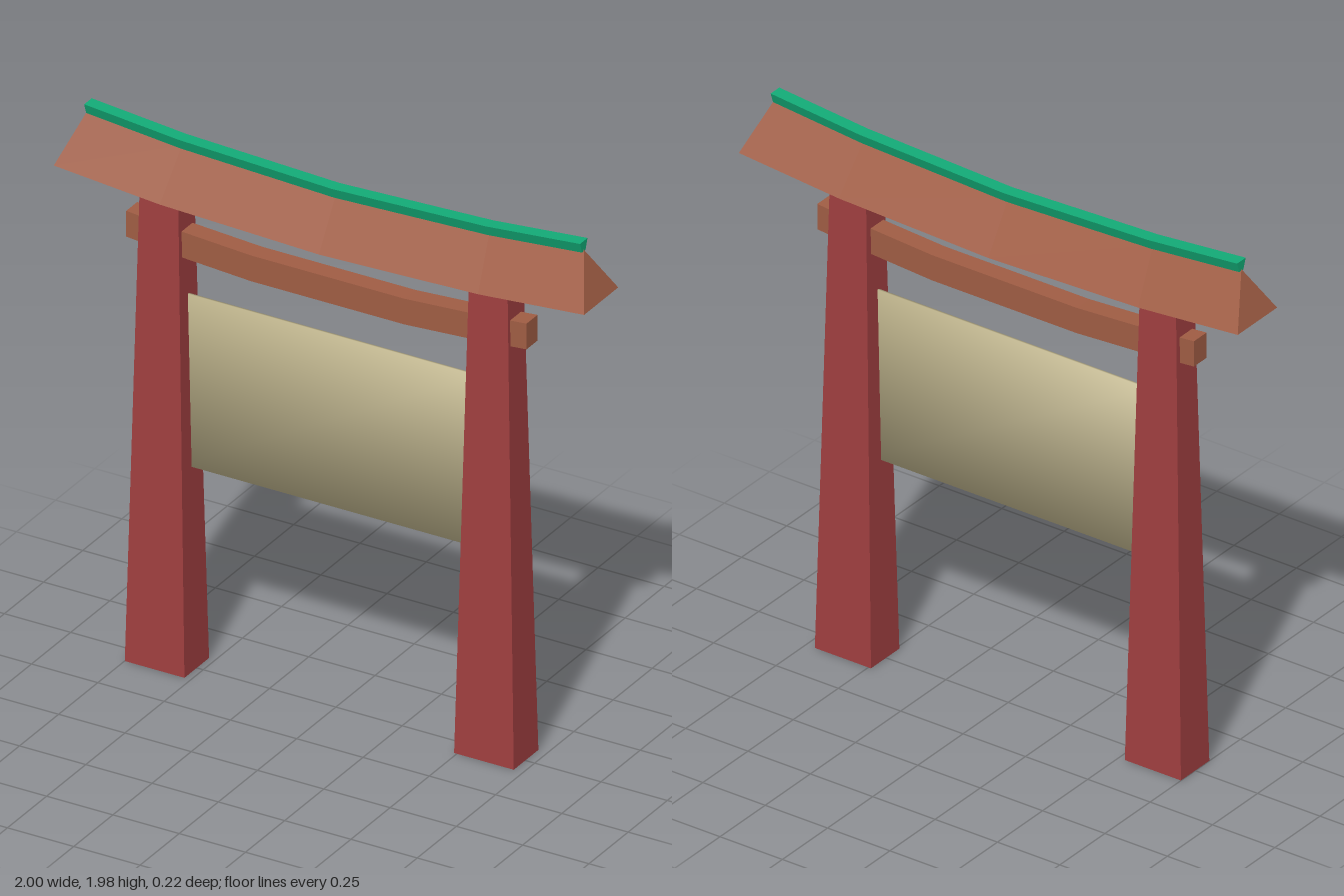
import * as THREE from 'three';

const red = new THREE.MeshStandardMaterial({ color: 0xa03f40, side: THREE.DoubleSide });
red.name = 'red pillar paint';
const brown = new THREE.MeshStandardMaterial({ color: 0xa05d44 });
brown.name = 'brown timber';
const green = new THREE.MeshStandardMaterial({ color: 0x13ab77 });
green.name = 'green ridge paint';
const cream = new THREE.MeshStandardMaterial({ color: 0xc4b990 });
cream.name = 'cream cloth';

// Sharp facets for a low-poly surface
function faceted(geometry) {
  const flat = geometry.index ? geometry.toNonIndexed() : geometry;
  flat.computeVertexNormals();
  return flat;
}

// Closed solid through rings of [x, y, z] points, listed from -x to +x,
// each ring running from +y towards +z
function loft(rings) {
  const n = rings[0].length;
  const index = [];
  for (let i = 0; i < rings.length - 1; i++) {
    for (let j = 0; j < n; j++) {
      const a = i * n + j, b = i * n + (j + 1) % n;
      index.push(a, b, a + n, b, b + n, a + n);
    }
  }
  const last = (rings.length - 1) * n;
  for (let j = 1; j < n - 1; j++) {
    index.push(0, j + 1, j, last, last + j, last + j + 1);
  }
  const geometry = new THREE.BufferGeometry();
  geometry.setAttribute('position', new THREE.Float32BufferAttribute(rings.flat(2), 3));
  geometry.setIndex(index);
  return faceted(geometry);
}

function addMesh(group, name, geometry, material) {
  const mesh = new THREE.Mesh(geometry, material);
  mesh.name = name;
  group.add(mesh);
  return mesh;
}

export function createModel() {
  const group = new THREE.Group();
  group.name = 'gateway';

  // Tapered hollow pillars
  const pillar = new THREE.CylinderGeometry(0.103, 0.159, 1.745, 4, 1, true);
  pillar.rotateY(Math.PI / 4).scale(1, 1, 0.7);
  const pillarGeometry = faceted(pillar);
  addMesh(group, 'rightPillar', pillarGeometry, red).position.set(-0.637, 0.8725, 0);
  addMesh(group, 'leftPillar', pillarGeometry, red).position.set(0.602, 0.8725, -0.005);

  // Upswept roof: triangular section with ends leaning inwards
  // stations: eave x, eave y, ridge x, ridge y
  const roofStations = [
    [-1, 1.775, -0.935, 1.948], [-0.6, 1.741, -0.58, 1.915], [0, 1.722, 0, 1.893],
    [0.6, 1.741, 0.58, 1.915], [1, 1.775, 0.935, 1.948],
  ];
  addMesh(group, 'roof', loft(roofStations.map(([ex, ey, rx, ry]) => [
    [rx, ry, 0], [ex, ey, 0.108], [ex, ey, -0.11],
  ])), brown);

  // Ridge cap: wide on top, narrow where it meets the roof
  addMesh(group, 'ridgeCap', loft(roofStations.map(([, , x, y]) => [
    [x, y + 0.032, -0.024], [x, y + 0.032, 0.024],
    [x, y - 0.006, 0.011], [x, y - 0.006, -0.011],
  ])), green);

  // Bent tie beam through both pillars
  const beamStations = [
    [-0.77, 1.637], [-0.56, 1.618], [-0.3, 1.602],
    [0.28, 1.602], [0.53, 1.618], [0.74, 1.637],
  ];
  addMesh(group, 'tieBeam', loft(beamStations.map(([x, y]) => [
    [x, y, -0.035], [x, y, 0.035], [x, y - 0.095, 0.035], [x, y - 0.095, -0.035],
  ])), brown);

  // Hanging cloth: thin panel with soft normals blended at its corners
  const cloth = new THREE.BoxGeometry(1.12, 0.635, 0.008);
  const { position, normal } = cloth.attributes;
  const corner = new THREE.Vector3();
  for (let i = 0; i < position.count; i++) {
    corner.fromBufferAttribute(position, i);
    corner.set(Math.sign(corner.x), Math.sign(corner.y), Math.sign(corner.z)).normalize();
    normal.setXYZ(i, corner.x, corner.y, corner.z);
  }
  addMesh(group, 'hangingCloth', cloth, cream).position.set(-0.015, 1.0575, 0);

  return group;
}
